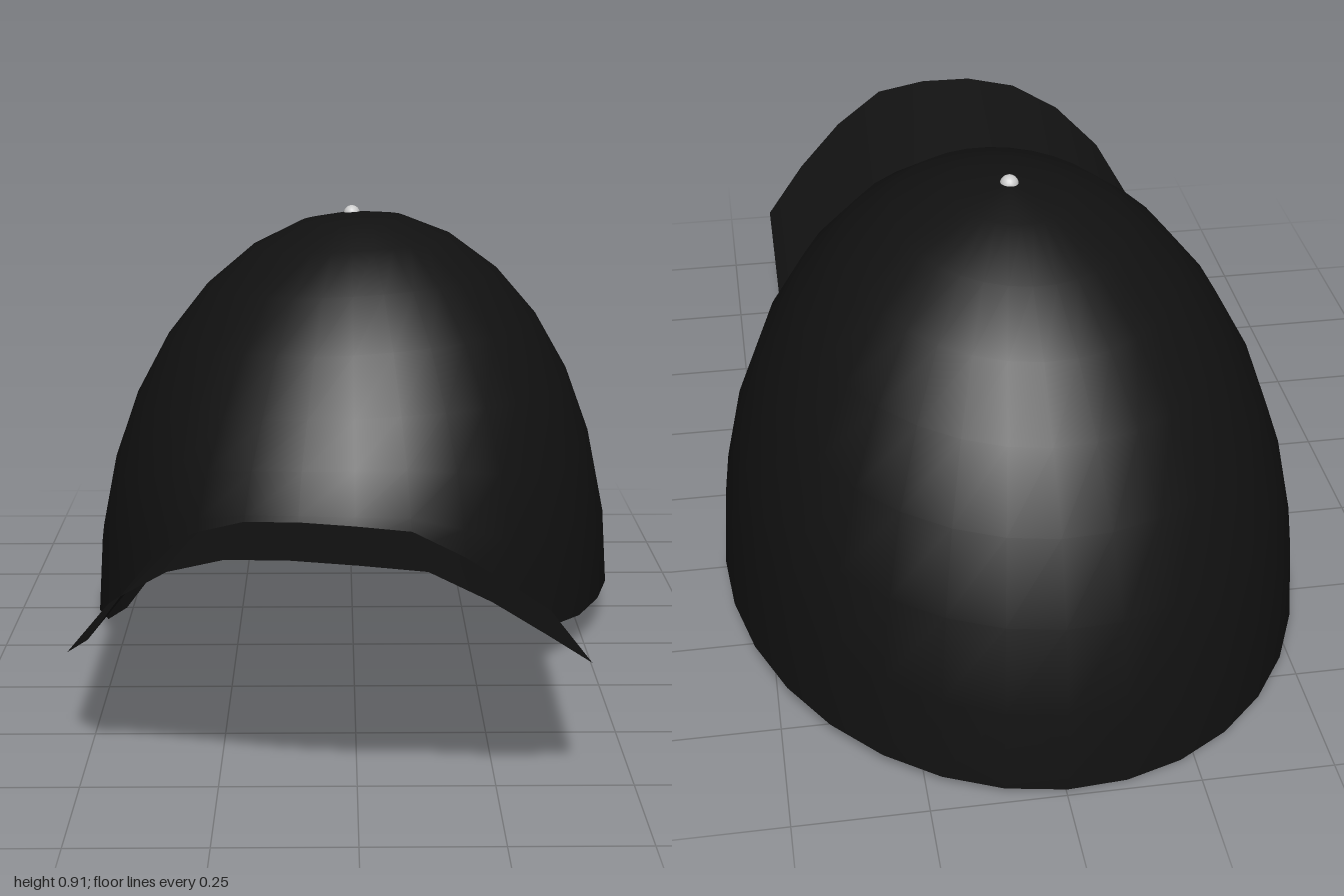
import * as THREE from 'three';

const SEG = 32, RINGS = 8;
// height of the crown's front edge, from the right temple (-8) to the left temple (8)
const RIM = [0.01, 0.015, 0.035, 0.1, 0.215, 0.285, 0.325, 0.335, 0.33,
  0.315, 0.25, 0.17, 0.09, 0.08, 0.08, 0.08, 0.075];
// how much each ring follows the raised front edge
const FOLLOW = [0, 0, 0, 0, 0, 0.05, 0.26, 0.55, 1];

// point on the crown: ring 0 is the top, ring 8 the open edge; k = 0 faces front
function crownPoint(ring, k) {
  const t = ring / RINGS * Math.PI / 2, a = k / SEG * Math.PI * 2;
  const s = Math.sin(t), c = Math.cos(a);
  const tilt = 0.032 * Math.sin(a) + 0.027 * c;
  const lift = Math.abs(k) <= 8 ? RIM[k + 8] - 0.042 - tilt : 0;
  return [
    0.58 * Math.sin(a) * s,
    0.042 + 0.857 * Math.cos(t) + tilt * s + lift * FOLLOW[ring],
    -0.32 + (c > 0 ? 0.655 : 0.68) * c * s,
  ];
}

function surface(points, index, material, name) {
  const g = new THREE.BufferGeometry();
  g.setAttribute('position', new THREE.Float32BufferAttribute(points.flat(), 3));
  g.setIndex(index);
  g.computeVertexNormals();
  const mesh = new THREE.Mesh(g, material);
  mesh.name = name;
  return mesh;
}

export function createModel() {
  const group = new THREE.Group();
  group.name = 'cap';
  const cloth = new THREE.MeshStandardMaterial({ color: 0x111111, side: THREE.DoubleSide });

  // crown: hollow dome with one shared vertex at the top
  const points = [crownPoint(0, 0)], index = [];
  for (let r = 1; r <= RINGS; r++)
    for (let k = 0; k < SEG; k++) points.push(crownPoint(r, k > SEG / 2 ? k - SEG : k));
  const id = (r, k) => (r === 0 ? 0 : 1 + (r - 1) * SEG + k % SEG);
  for (let r = 0; r < RINGS; r++)
    for (let k = 0; k < SEG; k++) {
      const a = id(r, k), b = id(r + 1, k), c = id(r, k + 1), d = id(r + 1, k + 1);
      if (r > 0) index.push(a, b, c);
      index.push(b, d, c);
    }
  group.add(surface(points, index, cloth, 'crown'));

  // brim: the front edge swept forward and slightly up
  const brim = [], brimIndex = [];
  for (let k = -6; k <= 4; k++) {
    const [x, y, z] = crownPoint(RINGS, k);
    const n = brim.length;
    brim.push([x, y + 0.035, z], [x, y + 0.165, z + 0.662]);
    if (k < 4) brimIndex.push(n, n + 1, n + 2, n + 1, n + 3, n + 2);
  }
  group.add(surface(brim, brimIndex, cloth, 'brim'));

  // button on top
  const button = new THREE.Mesh(new THREE.SphereGeometry(0.018, 16, 12),
    new THREE.MeshStandardMaterial({ color: 0xcccccc }));
  button.name = 'topButton';
  button.position.set(0, 0.893, -0.32);
  group.add(button);

  return group;
}
